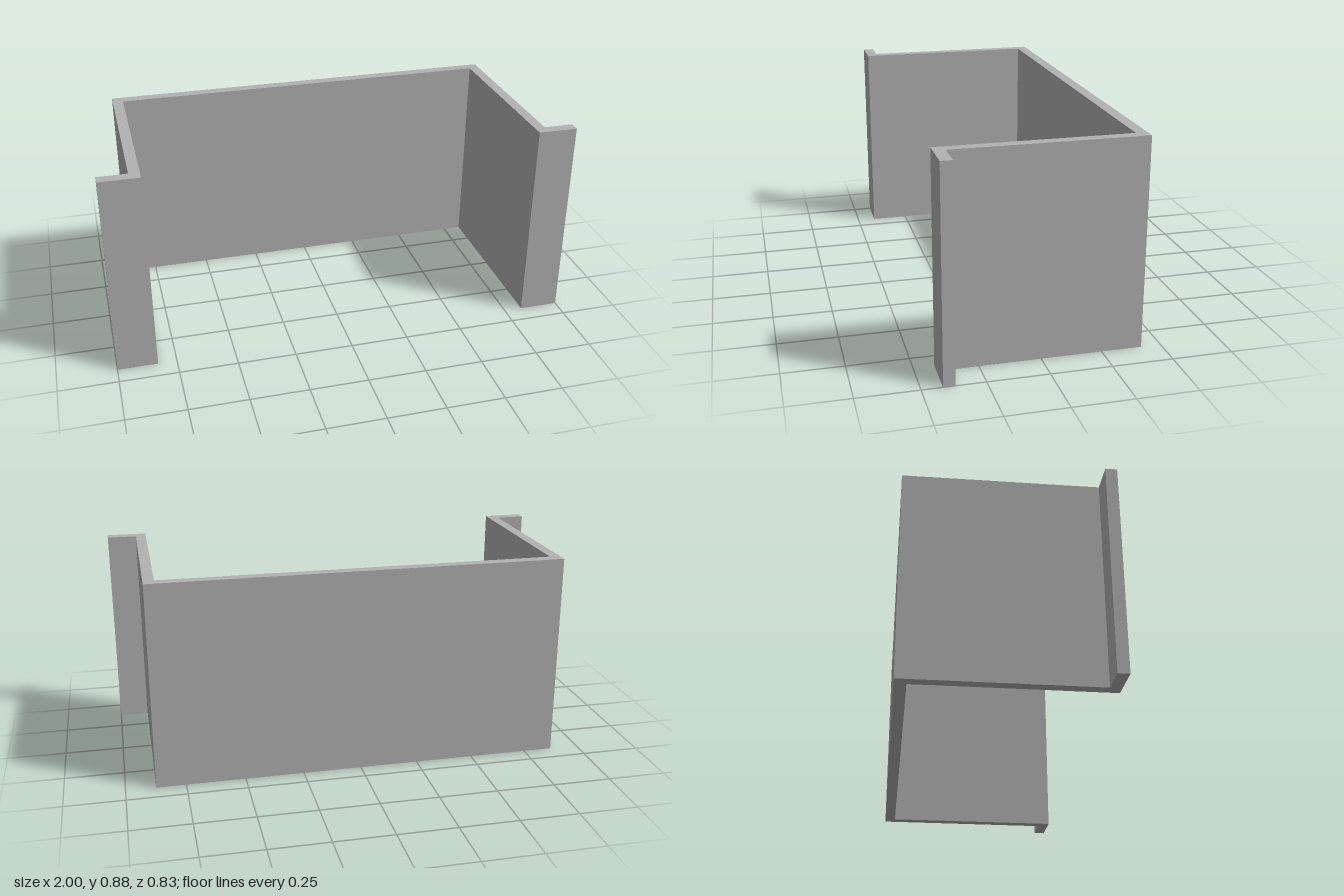
import * as THREE from 'three';

export function createModel() {
  const model = new THREE.Group();
  model.name = 'flangedBracket';
  const grey = new THREE.MeshStandardMaterial({ color: 0xb2b2b2 });
  grey.name = 'plain grey';

  const height = 0.88;
  const outerX = 0.875, innerX = 0.83;   // side wall faces
  const outerZ = 0.417, innerZ = 0.37;   // back wall and flange faces

  // Hat-section plan: half outline from the back centre, mirrored for the other half
  const half = [
    [outerX, -outerZ], [outerX, innerZ], [1, innerZ],
    [1, outerZ], [innerX, outerZ], [innerX, -innerZ],
  ];
  const mirrored = half.map(([x, z]) => [-x, z]).reverse();

  // Shape y is -z, so that standing the extrusion up restores the depth axis
  const outline = [...half, ...mirrored].map(([x, z]) => new THREE.Vector2(x, -z));
  const geometry = new THREE.ExtrudeGeometry(new THREE.Shape(outline), {
    depth: height, bevelEnabled: false,
  });
  geometry.rotateX(-Math.PI / 2);

  // Back wall, side walls and front flanges as one continuous folded profile
  const channel = new THREE.Mesh(geometry, grey);
  channel.name = 'channelWithFlanges';
  model.add(channel);

  return model;
}
